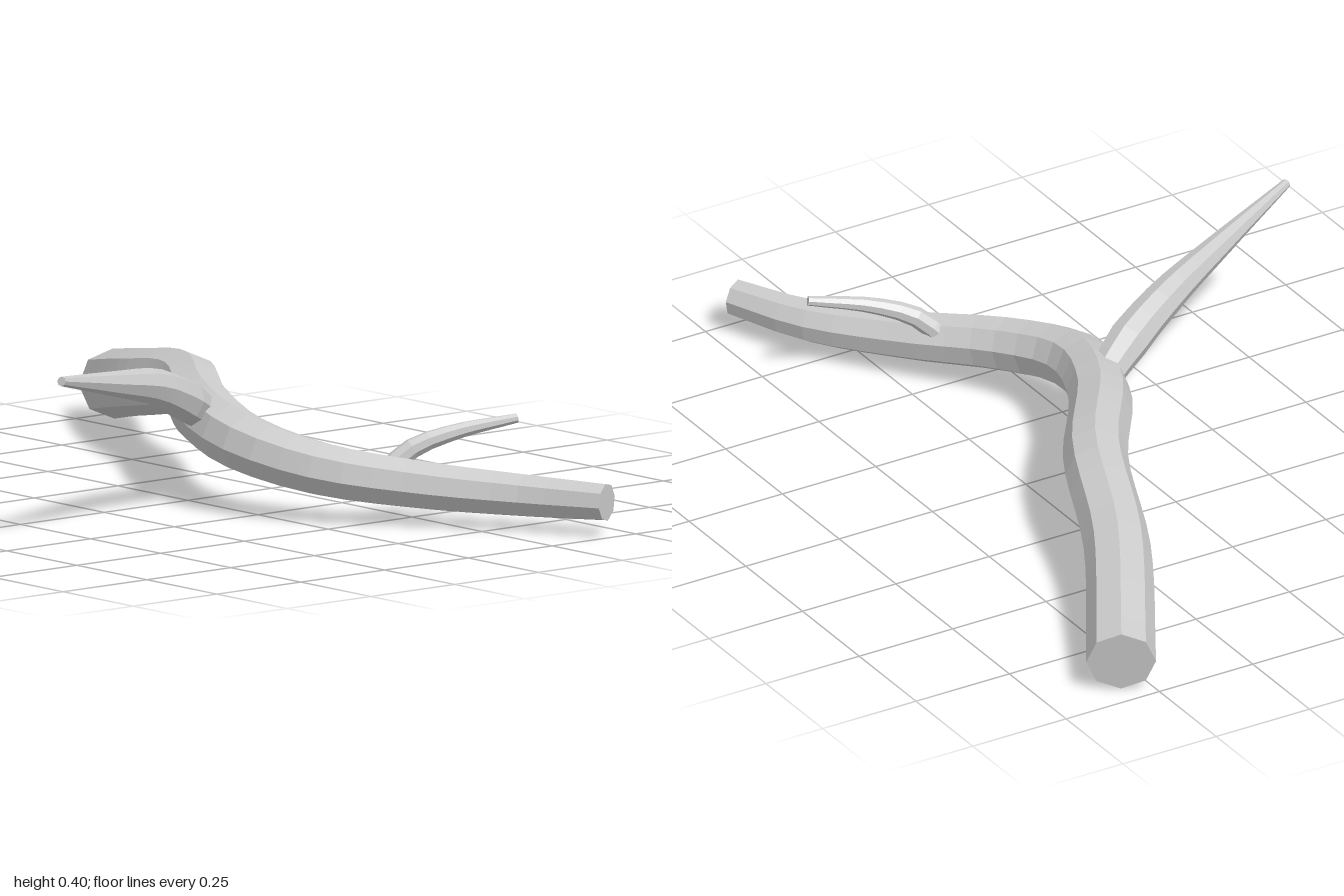
import * as THREE from 'three';

const material = new THREE.MeshStandardMaterial({ color: 0xcccccc, flatShading: true });

// Capped, tapering limb along a smooth path; each point is [x, y, z, radius]
function limb(name, points, segments, sides) {
  const curve = new THREE.CatmullRomCurve3(points.map(([x, y, z]) => new THREE.Vector3(x, y, z)));
  const frames = curve.computeFrenetFrames(segments);
  const positions = [], index = [];
  for (let j = 0; j <= segments; j++) {
    const u = j / segments;
    const centre = curve.getPointAt(u);
    const s = curve.getUtoTmapping(u) * (points.length - 1);
    const k = Math.min(Math.floor(s), points.length - 2);
    const radius = THREE.MathUtils.lerp(points[k][3], points[k + 1][3], s - k);
    for (let i = 0; i < sides; i++) {
      const a = (i / sides) * Math.PI * 2;
      const p = centre.clone()
        .addScaledVector(frames.normals[j], radius * Math.cos(a))
        .addScaledVector(frames.binormals[j], radius * Math.sin(a));
      positions.push(p.x, p.y, p.z);
    }
  }
  const start = positions.length / 3, end = start + 1, last = segments * sides;
  positions.push(...curve.getPoint(0).toArray(), ...curve.getPoint(1).toArray());
  for (let i = 0; i < sides; i++) {
    const n = (i + 1) % sides;
    for (let j = 0; j < segments; j++) {
      const a = j * sides, b = a + sides;
      index.push(a + i, a + n, b + n, a + i, b + n, b + i);
    }
    index.push(start, n, i, end, last + i, last + n);
  }
  const geometry = new THREE.BufferGeometry();
  geometry.setAttribute('position', new THREE.Float32BufferAttribute(positions, 3));
  geometry.setIndex(index);
  geometry.computeVertexNormals();
  const mesh = new THREE.Mesh(geometry, material);
  mesh.name = name;
  return mesh;
}

export function createModel() {
  const group = new THREE.Group();
  group.name = 'branch';

  // Thick, winding main stem
  group.add(limb('mainStem', [
    [-0.955, 0.085, -0.575, 0.08],
    [-0.6, 0.16, -0.37, 0.077],
    [-0.3, 0.21, -0.245, 0.075],
    [-0.03, 0.202, -0.07, 0.073],
    [0.2, 0.167, 0.0, 0.07],
    [0.4, 0.128, -0.055, 0.065],
    [0.6, 0.1, -0.2, 0.058],
    [0.8, 0.086, -0.345, 0.051],
    [0.98, 0.085, -0.43, 0.044],
  ], 32, 8));

  // Long pointed side shoot towards the front
  group.add(limb('sideShoot', [
    [0.025, 0.205, -0.03, 0.04],
    [0.075, 0.255, 0.07, 0.05],
    [0.125, 0.308, 0.2, 0.044],
    [0.21, 0.35, 0.4, 0.029],
    [0.308, 0.395, 0.635, 0.011],
  ], 12, 8));

  // Small twig curving towards the back
  group.add(limb('twig', [
    [0.515, 0.12, -0.155, 0.026],
    [0.545, 0.175, -0.21, 0.024],
    [0.59, 0.21, -0.3, 0.019],
    [0.648, 0.235, -0.44, 0.011],
  ], 8, 8));

  return group;
}
